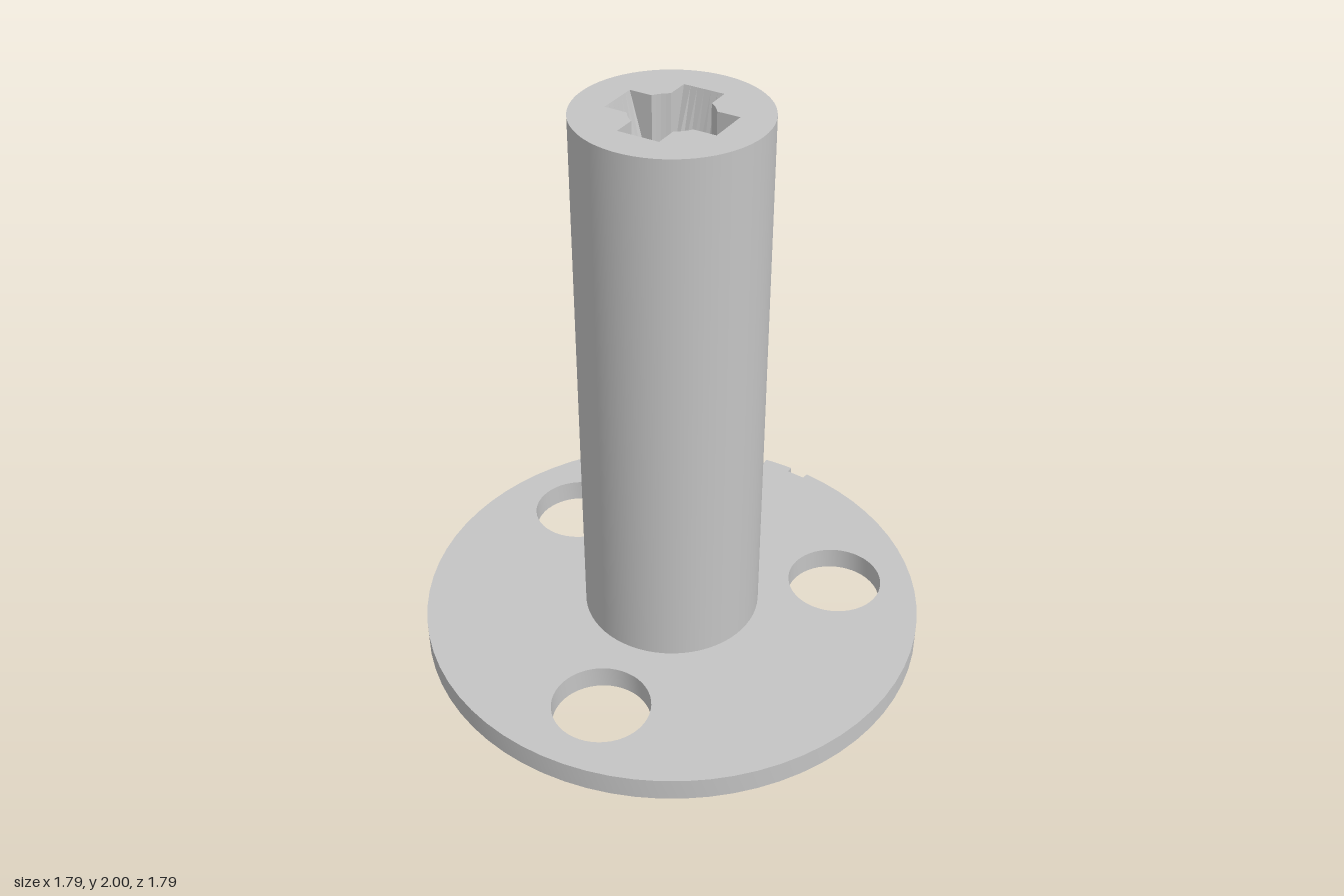
import * as THREE from 'three';
import { toCreasedNormals } from 'three/addons/utils/BufferGeometryUtils.js';

const steel = new THREE.MeshStandardMaterial({ color: 0xc4c4c4 });
steel.name = 'grey metal';

const DISC_R = 0.893, DISC_H = 0.083, SHAFT_R = 0.315, HEIGHT = 2;
const CORE_R = 0.135, SLOT_R = 0.193, SLOT_HALF = 0.0715, RECESS = 0.28;
const PILOT_R = 0.128, PILOT_H = 0.13;
const rad = THREE.MathUtils.degToRad;
const polar = (r, a) => new THREE.Vector2(r * Math.cos(a), r * Math.sin(a));

function circle(x, y, r) {
  const p = new THREE.Path();
  p.absarc(x, y, r, 0, Math.PI * 2, true);
  return p;
}

// Round flange with three rim notches, three bolt holes and a central pilot hole
function flangeGeometry() {
  const pts = [];
  let from = rad(72 + 2.4);
  for (const deg of [48, 60, 72]) {
    const start = rad(deg - 2.4), end = rad(deg + 2.4);
    const steps = deg === 48 ? 64 : 3;
    const first = deg === 48 ? from - Math.PI * 2 : from;
    for (let i = 0; i <= steps; i++) pts.push(polar(DISC_R, first + (start - first) * i / steps));
    pts.push(polar(DISC_R - 0.026, start + 0.001), polar(DISC_R - 0.026, end - 0.001));
    from = end;
  }
  const shape = new THREE.Shape(pts);
  for (let k = 0; k < 3; k++) {
    const c = polar(0.607, k * Math.PI * 2 / 3);
    shape.holes.push(circle(c.x, c.y, 0.17));
  }
  shape.holes.push(circle(0, 0, PILOT_R));
  const geo = new THREE.ExtrudeGeometry(shape, { depth: DISC_H, bevelEnabled: false, curveSegments: 24 });
  return toCreasedNormals(geo.rotateX(-Math.PI / 2), 0.4);
}

// Matching outlines of the cross recess at its mouth and at its round floor
function recessOutlines() {
  const top = [], bottom = [];
  const half = Math.asin(SLOT_HALF / CORE_R), n = 6;
  for (let k = 0; k < 4; k++) {
    const dir = rad(52.6 + 90 * k), o = new THREE.Vector2();
    const add = (t, b) => { top.push(t); bottom.push(b); };
    add(polar(CORE_R, dir - half), polar(CORE_R, dir - half));
    for (let i = 0; i <= n; i++) {
      const u = -1 + 2 * i / n;
      add(new THREE.Vector2(SLOT_R, u * SLOT_HALF).rotateAround(o, dir), polar(CORE_R, dir + u * half));
    }
    const gap = Math.PI / 2 - 2 * half;
    for (let i = 0; i < 4; i++) {
      const p = polar(CORE_R, dir + half + gap * i / 4);
      add(p, p);
    }
  }
  return { top, bottom };
}

// Inward-facing walls between the two outlines
function recessWalls({ top, bottom }) {
  const pos = [];
  const put = (p, z) => pos.push(p.x, p.y, z);
  for (let i = 0; i < top.length; i++) {
    const j = (i + 1) % top.length;
    put(bottom[j], -RECESS); put(bottom[i], -RECESS); put(top[i], 0);
    put(bottom[j], -RECESS); put(top[i], 0); put(top[j], 0);
  }
  const geo = new THREE.BufferGeometry();
  geo.setAttribute('position', new THREE.Float32BufferAttribute(pos, 3));
  geo.computeVertexNormals();
  return geo.rotateX(-Math.PI / 2);
}

export function createModel() {
  const model = new THREE.Group();
  model.name = 'flangedPost';
  const add = (name, geo, y = 0) => {
    const mesh = new THREE.Mesh(geo, steel);
    mesh.name = name;
    mesh.position.y = y;
    model.add(mesh);
  };

  add('flange', flangeGeometry());

  // Post wall, open at both ends
  const length = HEIGHT - DISC_H;
  add('post', new THREE.CylinderGeometry(SHAFT_R, SHAFT_R, length, 64, 1, true), DISC_H + length / 2);

  // Post end face with the cross-shaped opening
  const outlines = recessOutlines();
  const face = new THREE.Shape();
  face.absarc(0, 0, SHAFT_R, 0, Math.PI * 2, false);
  face.holes.push(new THREE.Path(outlines.top.slice().reverse()));
  add('postEnd', new THREE.ShapeGeometry(face, 32).rotateX(-Math.PI / 2), HEIGHT);

  // Tapered driver recess
  add('recessWalls', recessWalls(outlines), HEIGHT);
  add('recessFloor', new THREE.CircleGeometry(CORE_R, 40).rotateX(-Math.PI / 2), HEIGHT - RECESS);

  // Conical pilot hole in the underside
  const cone = [new THREE.Vector2(0, PILOT_H), new THREE.Vector2(PILOT_R, 0)];
  add('pilotCone', new THREE.LatheGeometry(cone, 48));

  return model;
}
